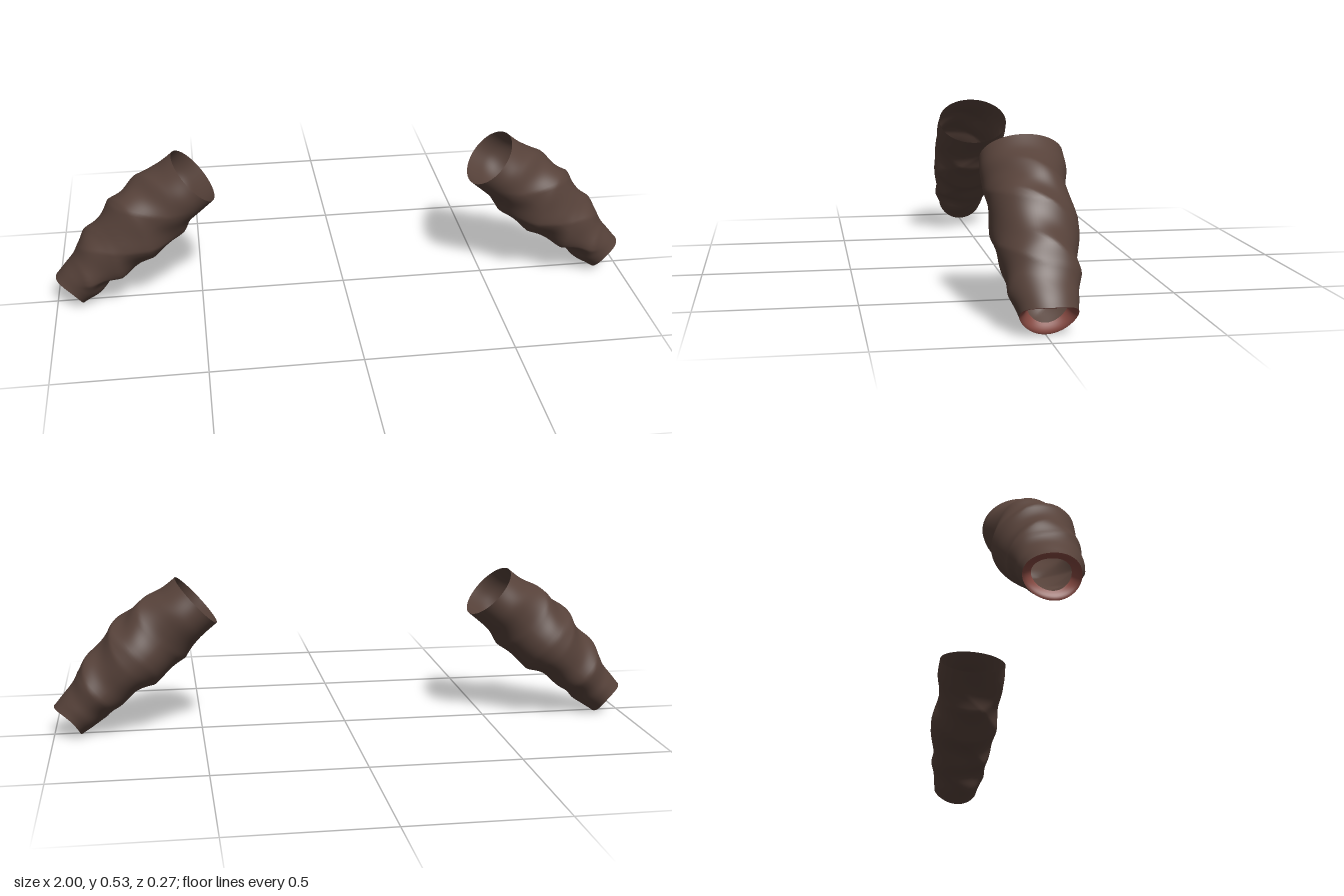
import * as THREE from 'three';

const LENGTH = 0.588, ROWS = 64, SIDES = 72;

// Half-widths at equal steps from the shoulder opening to the wrist
const profile = (values) => new THREE.SplineCurve(values.map((v, i) => new THREE.Vector2(i, v)));
const above = profile([0.103, 0.108, 0.122, 0.138, 0.132, 0.124, 0.117, 0.113, 0.090, 0.078, 0.068]);
const below = profile([0.103, 0.101, 0.105, 0.112, 0.116, 0.106, 0.093, 0.089, 0.073, 0.076, 0.067]);
const front = profile([0.128, 0.132, 0.126, 0.123, 0.128, 0.126, 0.115, 0.110, 0.102, 0.092, 0.080]);
const back = profile([0.130, 0.132, 0.123, 0.120, 0.128, 0.130, 0.127, 0.114, 0.106, 0.098, 0.089]);

// Rounded ridge with a tighter valley, centred on zero
const ridge = (a) => 0.64 - Math.abs(Math.sin(a / 2)) * 1.0 + 0.15 * Math.cos(a);

// Slanting cloth folds that fade out at both hems
function folds(t, angle) {
  const fade = THREE.MathUtils.smoothstep(t, 0.06, 0.3) * (1 - THREE.MathUtils.smoothstep(t, 0.82, 0.95));
  const a = ridge(t * 27 + 2.2 * Math.sin(angle + 0.5) + 0.8 * Math.sin(2 * angle));
  const b = ridge(t * 19 - 2.6 * Math.cos(angle - 0.4) + 2 * angle);
  const c = Math.sin(t * 13 + 3 * angle);
  return fade * (0.009 * a * (0.6 + 0.4 * Math.sin(2 * angle + 5 * t)) + 0.008 * b + 0.003 * c);
}

// Point on the sleeve: t along the arm, angle around it (0 = upper side)
function sleevePoint(side, t, angle, scale = 1, inset = 0) {
  const c = Math.cos(angle), s = Math.sin(angle);
  const fold = folds(t, angle);
  const v = c * ((c > 0 ? above : below).getPoint(t).y + fold) * scale;
  const z = s * ((s > 0 ? front : back).getPoint(t).y + fold * 0.7) * scale;
  // The wrist edge dips slightly at the front and back
  const u = t * LENGTH + (0.010 - 0.022 * s * s) * THREE.MathUtils.smoothstep(t, 0.85, 1) - inset;
  return [side * (0.51 + 0.74 * u + 0.672 * v), 0.45 - 0.672 * u + 0.74 * v, z];
}

// Closed rings joined into a smooth skin
function skin(side, rows, point) {
  const positions = [], index = [];
  for (let i = 0; i <= rows; i++) {
    for (let j = 0; j < SIDES; j++) positions.push(...point(i / rows, (j / SIDES) * Math.PI * 2));
  }
  for (let i = 0; i < rows; i++) {
    for (let j = 0; j < SIDES; j++) {
      const k = (j + 1) % SIDES;
      const a = i * SIDES + j, b = i * SIDES + k, c = a + SIDES, d = b + SIDES;
      if (side > 0) index.push(a, c, b, b, c, d);
      else index.push(a, b, c, b, d, c);
    }
  }
  const geometry = new THREE.BufferGeometry();
  geometry.setAttribute('position', new THREE.Float32BufferAttribute(positions, 3));
  geometry.setIndex(index);
  geometry.computeVertexNormals();
  return geometry;
}

export function createModel() {
  const cloth = new THREE.MeshStandardMaterial({ color: 0x57423a, side: THREE.DoubleSide });
  cloth.name = 'brown cloth';
  const trim = new THREE.MeshStandardMaterial({ color: 0x8a4b43, side: THREE.DoubleSide });
  trim.name = 'red lining';

  const model = new THREE.Group();
  model.name = 'sleeves';
  for (const [name, side] of [['left', 1], ['right', -1]]) {
    const sleeve = new THREE.Group();
    sleeve.name = name + 'Sleeve';

    // Wrinkled outer cloth, open at the shoulder
    const outer = new THREE.Mesh(skin(side, ROWS, (t, a) => sleevePoint(side, t, a)), cloth);
    outer.name = name + 'SleeveCloth';

    // Red lining turned inward at the wrist
    const cuff = new THREE.Mesh(
      skin(side, 6, (t, a) => sleevePoint(side, 1, a, 1 - 0.32 * t, 0.025 * t * t)), trim);
    cuff.name = name + 'CuffLining';

    sleeve.add(outer, cuff);
    model.add(sleeve);
  }
  return model;
}
